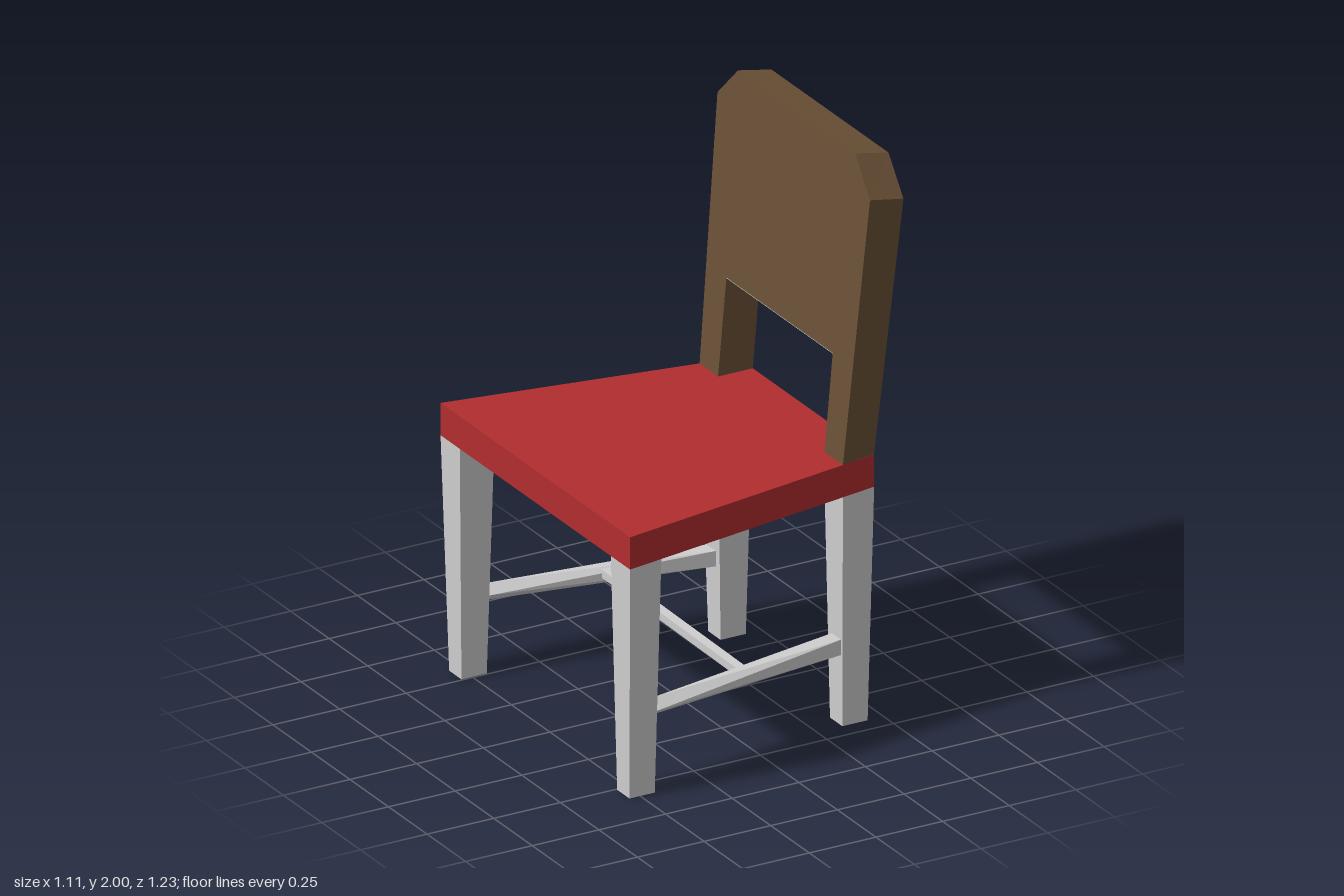
import * as THREE from 'three';
import { ConvexGeometry } from 'three/addons/geometries/ConvexGeometry.js';

export function createModel() {
  const chair = new THREE.Group();
  chair.name = 'chair';
  const mat = (name, color) => {
    const m = new THREE.MeshStandardMaterial({ color });
    m.name = name;
    return m;
  };
  const red = mat('seat red', 0xb22d2f);
  const brown = mat('back brown', 0x6b5136);
  const grey = mat('leg grey', 0xcfcfcf);

  const add = (name, geometry, material) => {
    const mesh = new THREE.Mesh(geometry, material);
    mesh.name = name;
    chair.add(mesh);
    return mesh;
  };
  // Flat-faced solid around a few corner points
  const solid = (name, points, material) =>
    add(name, new ConvexGeometry(points.map((p) => new THREE.Vector3(...p))), material);

  // Half width of the seat, which narrows toward the backrest
  const edge = (x) => 0.615 - 0.1695 * (x + 0.555);

  // Seat
  const seat = [];
  for (const x of [-0.555, 0.46])
    for (const y of [0.83, 0.945])
      for (const s of [-1, 1]) seat.push([x, y, s * edge(x)]);
  solid('seat', seat, red);

  for (const s of [1, -1]) {
    const side = s > 0 ? 'left' : 'right';

    // Tapered legs: top x range, inner z, then the foot rectangle
    const leg = (name, x0, x1, zIn, fx0, fx1, fz0, fz1) =>
      solid(name, [
        [x0, 0.83, s * zIn], [x1, 0.83, s * zIn],
        [x0, 0.83, s * edge(x0)], [x1, 0.83, s * edge(x1)],
        [fx0, 0, s * fz0], [fx1, 0, s * fz0], [fx0, 0, s * fz1], [fx1, 0, s * fz1],
      ], grey);
    leg(side + 'WideEndLeg', -0.555, -0.425, 0.49, -0.54, -0.445, 0.505, 0.585);
    leg(side + 'BackrestLeg', 0.33, 0.46, 0.345, 0.345, 0.44, 0.355, 0.435);

    // Side stretcher: diamond at one end, square at the other
    solid(side + 'Stretcher', [
      [-0.437, 0.28, s * 0.57], [-0.437, 0.31, s * 0.53],
      [-0.437, 0.28, s * 0.495], [-0.437, 0.25, s * 0.53],
      [0.345, 0.31, s * 0.435], [0.345, 0.31, s * 0.375],
      [0.345, 0.255, s * 0.435], [0.345, 0.255, s * 0.375],
    ], grey);
  }

  // Cross stretcher between the two side stretchers
  const cross = [];
  for (const s of [1, -1])
    for (const dx of [-0.017, 0.017])
      for (const dy of [-0.014, 0.014]) cross.push([-0.035 + dx, 0.287 - s * 0.005 + dy, s * 0.455]);
  solid('crossStretcher', cross, grey);

  // Backrest: arch outline with clipped corners, extruded and then leaned back
  const outline = [
    [-0.465, 0.945], [-0.345, 0.945], [-0.345, 1.29], [0.345, 1.29], [0.345, 0.945], [0.465, 0.945],
    [0.495, 1.88], [0.38, 2], [-0.38, 2], [-0.495, 1.88],
  ];
  const shape = new THREE.Shape(outline.map(([a, b]) => new THREE.Vector2(a, b)));
  const back = new THREE.ExtrudeGeometry(shape, { depth: 1, bevelEnabled: false, steps: 1 });
  const pos = back.attributes.position;
  for (let i = 0; i < pos.count; i++) {
    const w = pos.getX(i), y = pos.getY(i), d = pos.getZ(i);
    const t = (y - 0.945) / 1.055;
    const narrow = y < 1 && Math.abs(w) > 0.4 ? 1 - 0.05 * d : 1;
    pos.setXYZ(i, 0.33 + 0.095 * t + 0.13 * d - 0.005 * d * t, y - 0.025 * d * t, -w * narrow);
  }
  back.computeVertexNormals();
  add('backrest', back, brown);

  // Bare underside of the back panel
  const underside = add('backrestUnderside', new THREE.BoxGeometry(0.128, 0.004, 0.69), grey);
  underside.position.set(0.426, 1.285, 0);
  underside.rotation.z = -0.063;

  return chair;
}
